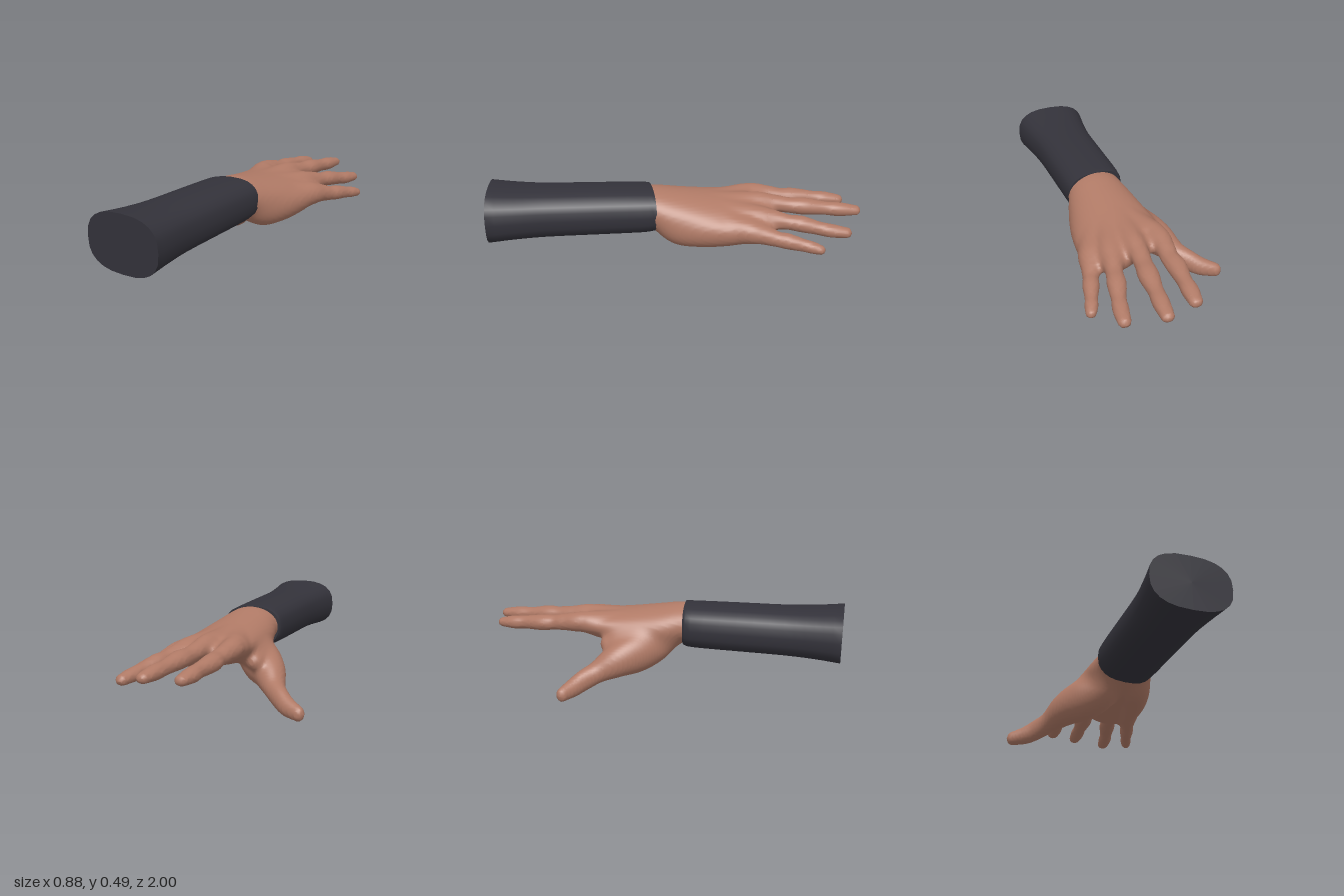
import * as THREE from 'three';

const skin = new THREE.MeshStandardMaterial({ color: 0xb07a66 });
skin.name = 'skin';
const cloth = new THREE.MeshStandardMaterial({ color: 0x33323a });
cloth.name = 'dark cloth';

// Rows are [x, y, z, halfWidth, halfHeight, tilt]; this adds smooth rows between them
function refine(rows, steps) {
  const curve = pick => new THREE.CatmullRomCurve3(
    rows.map(r => new THREE.Vector3(...pick(r))), false, 'catmullrom');
  const centres = curve(r => r.slice(0, 3));
  const sizes = curve(r => [r[3], r[4], r[5] || 0]);
  const count = (rows.length - 1) * steps;
  return Array.from({ length: count + 1 }, (_, i) =>
    [...centres.getPoint(i / count).toArray(), ...sizes.getPoint(i / count).toArray()]);
}

function makeMesh(name, material, positions, index) {
  const geometry = new THREE.BufferGeometry();
  geometry.setAttribute('position', new THREE.Float32BufferAttribute(positions, 3));
  geometry.setIndex(index);
  geometry.computeVertexNormals();
  const mesh = new THREE.Mesh(geometry, material);
  mesh.name = name;
  return mesh;
}

// Sleeve: rounded-box rings from the flat cut end (+z) to the slanted cuff
function makeSleeve() {
  const rows = refine([
    [0.09, 0.346, 1, 0.21, 0.146],
    [0.09, 0.344, 0.86, 0.19, 0.134],
    [0.088, 0.342, 0.7, 0.174, 0.127],
    [0.085, 0.341, 0.45, 0.17, 0.124],
    [0.083, 0.34, 0.2, 0.167, 0.12],
    [0.088, 0.343, 0.137, 0.159, 0.113, -0.11],
  ], 3);
  const sides = 24, positions = [], index = [];
  const bend = v => Math.sign(v) * Math.abs(v) ** 0.77;
  const addRing = ([x, y, z, w, h, slant]) => {
    for (let j = 0; j < sides; j++) {
      const a = (j / sides) * Math.PI * 2, u = bend(Math.cos(a)) * w;
      positions.push(x + u, y + bend(Math.sin(a)) * h, z + slant * u);
    }
  };
  rows.forEach(addRing);
  for (let i = 0; i < rows.length - 1; i++) {
    for (let j = 0; j < sides; j++) {
      const a = i * sides + j, b = i * sides + (j + 1) % sides;
      index.push(a, a + sides, b, b, a + sides, b + sides);
    }
  }
  // Caps have their own vertices so that the rims stay sharp
  [rows[0], rows[rows.length - 1]].forEach((row, end) => {
    const base = positions.length / 3;
    addRing(row);
    positions.push(row[0], row[1], row[2]);
    for (let j = 0; j < sides; j++) {
      const a = base + j, b = base + (j + 1) % sides;
      index.push(base + sides, end ? b : a, end ? a : b);
    }
  });
  return makeMesh('sleeve', cloth, positions, index);
}

// Limbs of the hand, which are blended into one skin
const limbs = {
  palm: [
    [0.09, 0.343, 0.17, 0.154, 0.108, 0], [0.09, 0.341, 0.11, 0.158, 0.112, 0],
    [0.092, 0.312, 0, 0.186, 0.124, -0.02], [0.1, 0.302, -0.14, 0.205, 0.113, -0.07],
    [0.107, 0.3, -0.28, 0.215, 0.096, -0.12], [0.108, 0.305, -0.38, 0.212, 0.078, -0.15],
    [0.08, 0.313, -0.44, 0.165, 0.055, -0.17], [0.075, 0.315, -0.48, 0.11, 0.03, -0.15],
  ],
  palmOuterEdge: [
    [0.18, 0.31, 0.08, 0.06, 0.07], [0.19, 0.255, 0, 0.088, 0.085],
    [0.225, 0.245, -0.12, 0.083, 0.08], [0.257, 0.25, -0.25, 0.066, 0.07],
    [0.278, 0.262, -0.36, 0.052, 0.056],
  ],
  indexFinger: [
    [0.02, 0.345, -0.2, 0.03, 0.035], [-0.05, 0.345, -0.4, 0.054, 0.056],
    [-0.052, 0.335, -0.52, 0.05, 0.048], [-0.046, 0.326, -0.59, 0.046, 0.042],
    [-0.05, 0.321, -0.66, 0.051, 0.045], [-0.041, 0.312, -0.77, 0.038, 0.038],
    [-0.038, 0.306, -0.84, 0.043, 0.038], [-0.03, 0.3, -0.92, 0.034, 0.027],
  ],
  middleFinger: [
    [0.08, 0.352, -0.2, 0.03, 0.035], [0.085, 0.352, -0.41, 0.053, 0.055],
    [0.09, 0.343, -0.52, 0.05, 0.047], [0.1, 0.332, -0.61, 0.046, 0.042],
    [0.11, 0.328, -0.69, 0.052, 0.046], [0.12, 0.317, -0.8, 0.039, 0.037],
    [0.129, 0.312, -0.88, 0.042, 0.038], [0.137, 0.306, -0.974, 0.034, 0.027],
  ],
  ringFinger: [
    [0.14, 0.335, -0.2, 0.03, 0.035], [0.2, 0.325, -0.39, 0.05, 0.051],
    [0.222, 0.312, -0.5, 0.047, 0.045], [0.242, 0.297, -0.58, 0.043, 0.04],
    [0.258, 0.29, -0.65, 0.048, 0.043], [0.282, 0.273, -0.74, 0.037, 0.036],
    [0.296, 0.264, -0.8, 0.04, 0.036], [0.309, 0.255, -0.883, 0.033, 0.028],
  ],
  littleFinger: [
    [0.2, 0.305, -0.18, 0.03, 0.035], [0.29, 0.276, -0.35, 0.05, 0.053],
    [0.322, 0.257, -0.45, 0.045, 0.047], [0.343, 0.245, -0.51, 0.038, 0.041],
    [0.358, 0.24, -0.56, 0.042, 0.042], [0.384, 0.226, -0.64, 0.032, 0.034],
    [0.398, 0.22, -0.68, 0.034, 0.032], [0.414, 0.212, -0.722, 0.027, 0.025],
  ],
  thumb: [
    [0.03, 0.3, 0.08, 0.06, 0.06], [0.005, 0.235, -0.01, 0.095, 0.1],
    [-0.07, 0.203, -0.1, 0.108, 0.118], [-0.15, 0.17, -0.185, 0.09, 0.095],
    [-0.218, 0.118, -0.278, 0.06, 0.062], [-0.28, 0.084, -0.342, 0.047, 0.06],
    [-0.335, 0.058, -0.383, 0.043, 0.052], [-0.406, 0.041, -0.42, 0.032, 0.04],
  ],
  thumbWeb: [
    [-0.02, 0.28, -0.12, 0.08, 0.07], [-0.07, 0.26, -0.2, 0.07, 0.06],
    [-0.1, 0.24, -0.255, 0.045, 0.045],
  ],
};

// Signed distance to a chain of elliptical segments
function limbField(rows) {
  const pts = refine(rows, 6);
  const box = new THREE.Box3();
  const segments = pts.slice(1).map((b, i) => {
    const a = pts[i], d = b.map((v, k) => v - a[k]);
    const flat = Math.hypot(d[0], d[2]), r = Math.max(a[3], a[4]) + 0.06;
    box.expandByPoint(new THREE.Vector3(a[0] - r, a[1] - r, a[2] - r));
    box.expandByPoint(new THREE.Vector3(b[0] + r, b[1] + r, b[2] + r));
    return { a, d, len2: d[0] ** 2 + d[1] ** 2 + d[2] ** 2, ux: d[0] / flat, uz: d[2] / flat };
  });
  return p => {
    if (!box.containsPoint(p)) return 1;
    let best = 1;
    for (const { a, d, len2, ux, uz } of segments) {
      let x = p.x - a[0], y = p.y - a[1], z = p.z - a[2];
      const t = Math.min(1, Math.max(0, (x * d[0] + y * d[1] + z * d[2]) / len2));
      x -= d[0] * t; y -= d[1] * t; z -= d[2] * t;
      const w = a[3] + d[3] * t, h = a[4] + d[4] * t, r = Math.min(w, h);
      const side = z * ux - x * uz, along = x * ux + z * uz;
      const up = y - (a[5] + d[5] * t) * side;
      best = Math.min(best, (Math.sqrt((side / w) ** 2 + (up / h) ** 2 + (along / r) ** 2) - 1) * r);
    }
    return best;
  };
}

// Hand: a net of quads drawn over the smoothly blended limbs
function makeHand() {
  const fields = Object.values(limbs).map(limbField);
  const blend = 0.032, cell = 0.0125;
  const field = p => fields.reduce((sum, f) => {
    const d = f(p), h = Math.max(blend - Math.abs(sum - d), 0) / blend;
    return Math.min(sum, d) - h * h * blend / 4;
  }, 1);

  const min = [-0.5, -0.06, -1.06], size = [80, 46, 112];
  const stride = [1, size[0], size[0] * size[1]];
  const values = new Float32Array(stride[2] * size[2]).fill(1);
  const p = new THREE.Vector3();
  const eachCell = visit => {
    for (let z = 1; z < size[2] - 1; z++)
      for (let y = 1; y < size[1] - 1; y++)
        for (let x = 1; x < size[0] - 1; x++) visit([x, y, z], x + y * stride[1] + z * stride[2]);
  };
  eachCell((c, i) => {
    values[i] = field(p.set(...c.map((v, k) => min[k] + v * cell)));
  });

  // One vertex in each cell that the surface crosses
  const positions = [], index = [], vertexOf = new Map();
  eachCell((c, i) => {
    const sum = [0, 0, 0];
    let hits = 0;
    for (let corner = 0; corner < 8; corner++) {
      const offset = [corner & 1, (corner >> 1) & 1, corner >> 2];
      const from = i + offset[0] + offset[1] * stride[1] + offset[2] * stride[2];
      for (let axis = 0; axis < 3; axis++) {
        if (offset[axis]) continue;
        const v0 = values[from], v1 = values[from + stride[axis]];
        if (v0 < 0 === v1 < 0) continue;
        hits++;
        for (let k = 0; k < 3; k++) sum[k] += offset[k] + (k === axis ? v0 / (v0 - v1) : 0);
      }
    }
    if (!hits) return;
    vertexOf.set(i, positions.length / 3);
    positions.push(...c.map((v, k) => min[k] + (v + sum[k] / hits) * cell));
  });

  // One quad around each grid edge that the surface crosses
  eachCell((c, i) => {
    for (let axis = 0; axis < 3; axis++) {
      const inside = values[i] < 0;
      if (inside === values[i + stride[axis]] < 0) continue;
      const s = stride[(axis + 1) % 3], t = stride[(axis + 2) % 3];
      const quad = [i, i - s, i - s - t, i - t].map(k => vertexOf.get(k));
      if (!inside) quad.reverse();
      index.push(quad[0], quad[1], quad[2], quad[0], quad[2], quad[3]);
    }
  });
  return makeMesh('hand', skin, positions, index);
}

export function createModel() {
  const model = new THREE.Group();
  model.name = 'handAndForearm';
  model.add(makeSleeve(), makeHand());
  return model;
}
